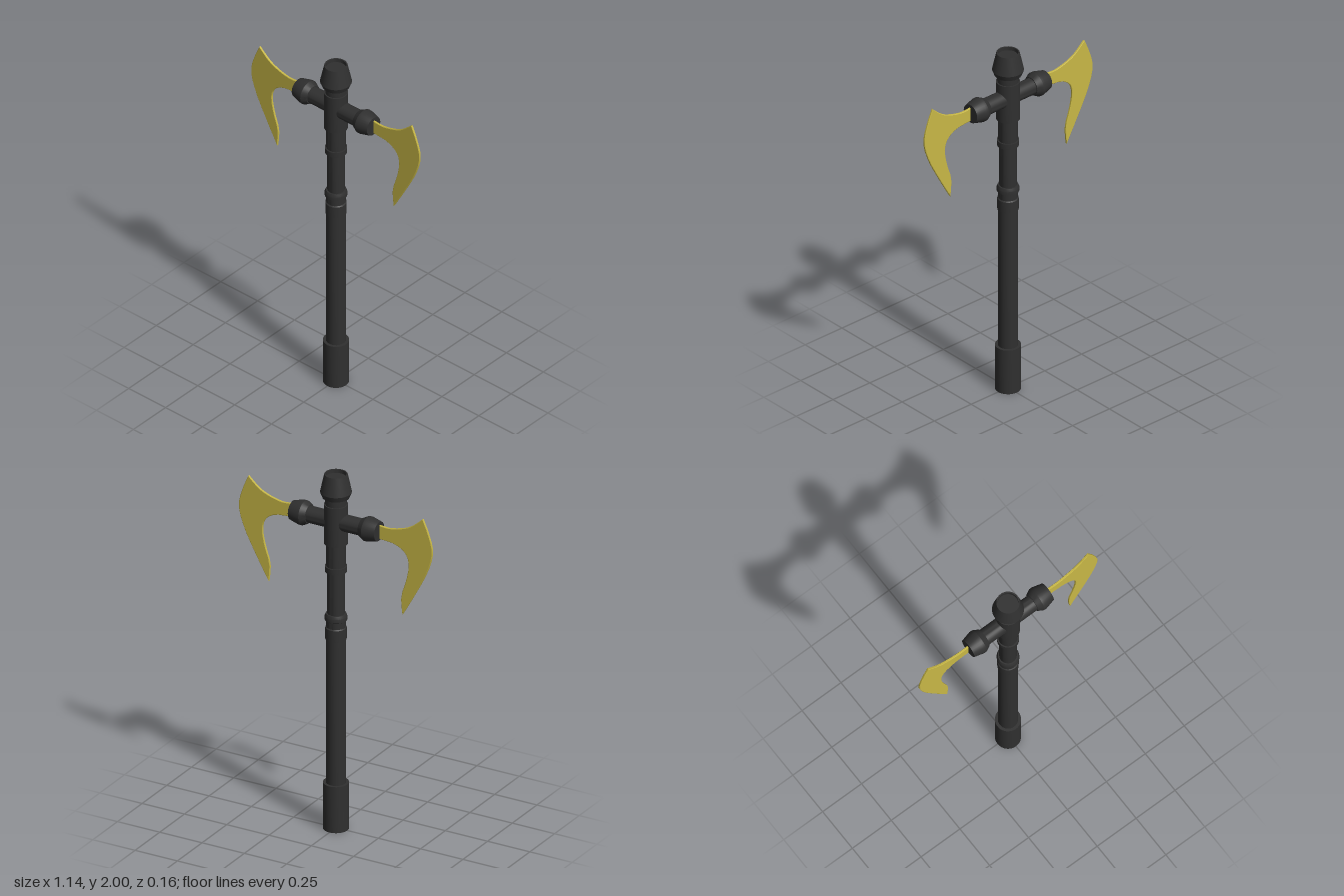
import * as THREE from 'three';
import { toCreasedNormals } from 'three/addons/utils/BufferGeometryUtils.js';

const dark = new THREE.MeshStandardMaterial({ color: 0x303030 });
const gold = new THREE.MeshStandardMaterial({ color: 0xc8b846 });

// Turned part from [radius, height] pairs, listed from bottom to top
function turned(name, profile) {
  const points = profile.map(([r, y]) => new THREE.Vector2(r, y));
  const mesh = new THREE.Mesh(toCreasedNormals(new THREE.LatheGeometry(points, 32), 0.4), dark);
  mesh.name = name;
  return mesh;
}

// Crescent blade for the +x side; mirrored by negating x
function blade(name, side) {
  const v = (x, y) => new THREE.Vector2(x * side, y);
  const upper = [v(0.258, 1.772), v(0.33, 1.77), v(0.435, 1.803), v(0.515, 1.868)];
  const edge = [v(0.515, 1.868), v(0.55, 1.785), v(0.572, 1.687), v(0.54, 1.57), v(0.467, 1.427), v(0.395, 1.3)];
  const inner = [v(0.395, 1.3), v(0.388, 1.4), v(0.418, 1.5), v(0.432, 1.59), v(0.412, 1.65), v(0.35, 1.687), v(0.258, 1.695)];
  const outline = [upper, edge, inner].flatMap((pts, i) =>
    new THREE.SplineCurve(pts).getPoints(14).slice(i ? 1 : 0));
  const geometry = new THREE.ExtrudeGeometry(new THREE.Shape(outline), {
    depth: 0.008, bevelEnabled: true, bevelThickness: 0.002, bevelSize: 0.003, bevelOffset: -0.003, bevelSegments: 1,
  });
  geometry.translate(0, 0, -0.004);
  const mesh = new THREE.Mesh(toCreasedNormals(geometry, 0.4), gold);
  mesh.name = name;
  return mesh;
}

export function createModel() {
  const group = new THREE.Group();
  group.name = 'doubleAxe';

  // Handle, from the pommel up to the head socket
  group.add(
    turned('pommel', [[0, 0], [0.067, 0], [0.067, 0.26], [0.052, 0.26]]),
    turned('grip', [[0.052, 0.25], [0.052, 1.07], [0.055, 1.07], [0.055, 1.135], [0.05, 1.14], [0.05, 1.18]]),
    turned('gripRing', [[0.05, 1.175], [0.058, 1.18], [0.058, 1.2], [0.052, 1.215], [0.045, 1.215]]),
    turned('neck', [[0.045, 1.2], [0.045, 1.46]]),
    turned('neckRing', [[0.045, 1.452], [0.057, 1.452], [0.057, 1.483], [0.05, 1.483]]),
    turned('upperNeck', [[0.05, 1.47], [0.05, 1.62]]),
    turned('headSocket', [[0.05, 1.61], [0.062, 1.61], [0.062, 1.83], [0.055, 1.83], [0.055, 1.88]]),
    // Flared cap with a shallow recess in the top
    turned('topCap', [[0.05, 1.87], [0.07, 1.87], [0.082, 1.9], [0.06, 2], [0.053, 2], [0.053, 1.98], [0, 1.98]]),
  );

  // Side arms with flared collars, each holding a blade
  for (const [label, side] of [['left', 1], ['right', -1]]) {
    const arm = turned(label + 'Arm', [
      [0.045, 0], [0.045, 0.155], [0.05, 0.155], [0.066, 0.185], [0.066, 0.2], [0.052, 0.255], [0, 0.255],
    ]);
    arm.rotation.z = -side * Math.PI / 2;
    arm.position.y = 1.735;
    group.add(arm, blade(label + 'Blade', side));
  }
  return group;
}
